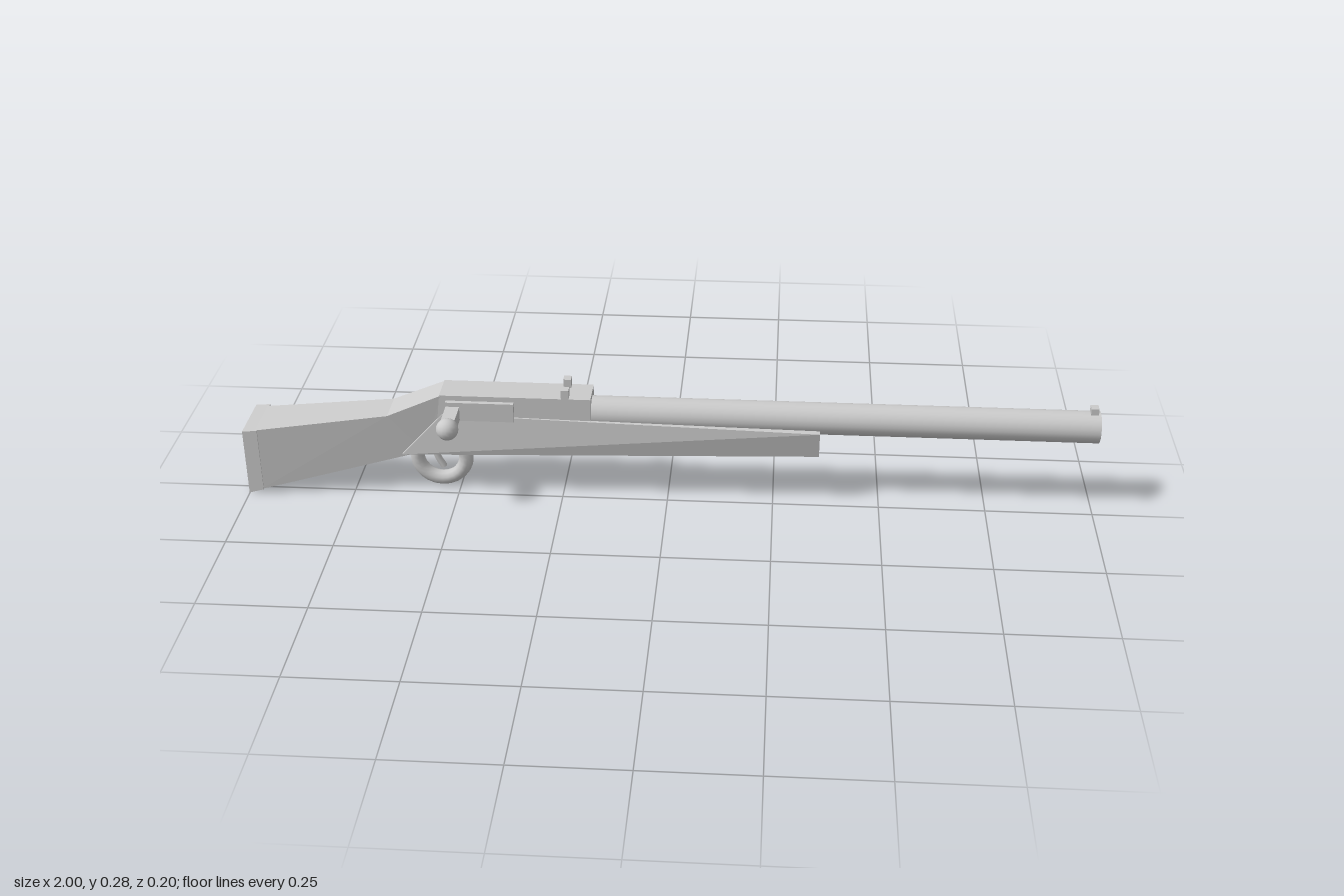
import * as THREE from 'three';

const MID = -0.05; // z of the barrel line
const smooth = new THREE.MeshStandardMaterial({ color: 0xcccccc });
const flat = new THREE.MeshStandardMaterial({ color: 0xcccccc, flatShading: true });

// Closed four-sided loft along x.
// Each section: bottom [x, y, zBack, zFront], top [x, y, zBack, zFront].
function loft(sections) {
  const rings = sections.map(([b, t]) => [
    [b[0], b[1], b[2]], [b[0], b[1], b[3]], [t[0], t[1], t[3]], [t[0], t[1], t[2]],
  ]);
  const pos = [];
  const tri = (...pts) => pts.forEach((p) => pos.push(...p));
  for (let i = 0; i < rings.length - 1; i++) {
    for (let j = 0; j < 4; j++) {
      const k = (j + 1) % 4;
      const a = rings[i][j], b = rings[i][k], c = rings[i + 1][k], d = rings[i + 1][j];
      // mirror the diagonal on the back so both flanks match
      if (j === 3) { tri(a, d, b); tri(b, d, c); } else { tri(a, d, c); tri(a, c, b); }
    }
  }
  const s = rings[0], e = rings[rings.length - 1];
  tri(s[0], s[1], s[2]); tri(s[0], s[2], s[3]);
  tri(e[0], e[2], e[1]); tri(e[0], e[3], e[2]);
  const g = new THREE.BufferGeometry();
  g.setAttribute('position', new THREE.Float32BufferAttribute(pos, 3));
  g.computeVertexNormals();
  return g;
}

export function createModel() {
  const group = new THREE.Group();
  const add = (name, geo, x = 0, y = 0, z = 0, mat = flat) => {
    const m = new THREE.Mesh(geo, mat);
    m.name = name;
    m.position.set(x, y, z);
    group.add(m);
    return m;
  };

  // Butt plate and shoulder stock
  add('buttPlate', loft([
    [[-1, 0.006, -0.1, 0.033], [-1, 0.173, -0.1, 0.033]],
    [[-0.965, 0.016, -0.1, 0.033], [-0.965, 0.176, -0.1, 0.033]],
  ]));
  add('stock', loft([
    [[-0.97, 0.016, -0.09, 0.031], [-0.97, 0.176, -0.09, 0.031]],
    [[-0.58, 0.108, -0.08, -0.015], [-0.66, 0.207, -0.09, -0.003]],
    [[-0.5, 0.112, -0.08, -0.02], [-0.53, 0.262, -0.089, -0.011]],
  ]));

  // Receiver and fore-end
  add('receiver', loft([
    [[-0.55, 0.13, -0.089, -0.011], [-0.535, 0.262, -0.089, -0.011]],
    [[-0.18, 0.13, -0.089, -0.011], [-0.18, 0.262, -0.089, -0.011]],
  ]));
  add('foreEnd', loft([
    [[-0.63, 0.106, -0.1, 0], [-0.53, 0.213, -0.091, -0.009]],
    [[0.355, 0.13, -0.088, -0.012], [0.355, 0.196, -0.1, 0]],
  ]));

  // Barrel
  const barrel = new THREE.CylinderGeometry(0.038, 0.038, 1.2, 20);
  barrel.rotateZ(-Math.PI / 2);
  add('barrel', barrel, 0.4, 0.212, MID, smooth);

  // Sights
  add('frontSight', new THREE.BoxGeometry(0.018, 0.022, 0.021), 0.985, 0.253, MID);
  for (const side of [-1, 1]) {
    add('rearSight', new THREE.BoxGeometry(0.018, 0.032, 0.021), -0.24, 0.268, MID + side * 0.028);
  }

  // Bolt with side cover and handle
  add('boltCover', new THREE.BoxGeometry(0.16, 0.047, 0.02), -0.44, 0.226, -0.01);
  add('boltHandle', new THREE.BoxGeometry(0.032, 0.034, 0.08), -0.503, 0.222, 0.022);
  add('boltKnob', new THREE.SphereGeometry(0.026, 16, 10), -0.503, 0.222, 0.077, smooth);

  // Trigger guard and trigger
  add('triggerGuard', new THREE.TorusGeometry(0.059, 0.0175, 10, 24), -0.544, 0.081, -0.045, smooth);
  const curve = new THREE.CatmullRomCurve3([
    new THREE.Vector3(-0.56, 0.125, -0.045),
    new THREE.Vector3(-0.556, 0.085, -0.045),
    new THREE.Vector3(-0.54, 0.052, -0.045),
  ]);
  add('trigger', new THREE.TubeGeometry(curve, 8, 0.008, 6), 0, 0, 0, smooth);

  return group;
}
